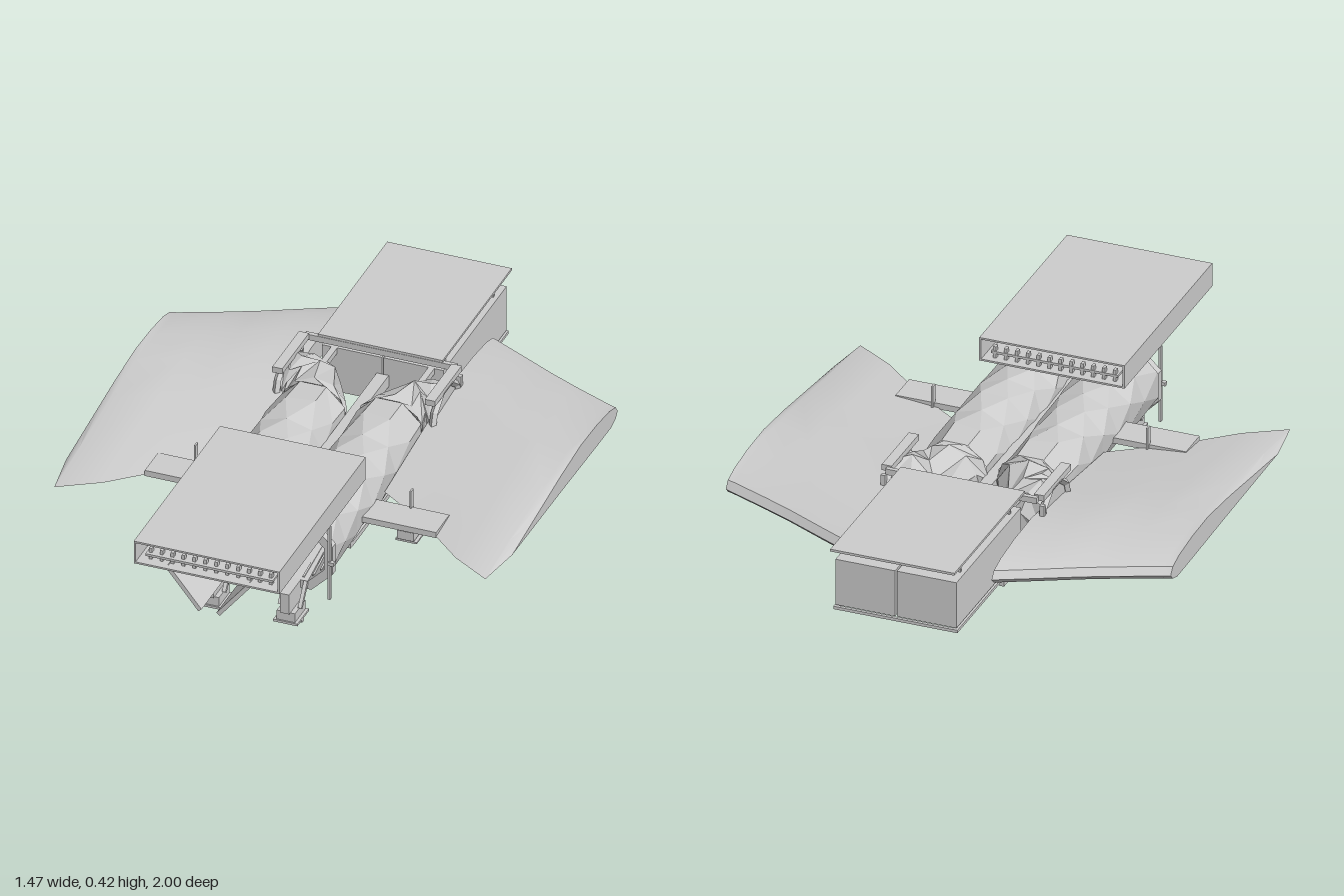
import * as THREE from 'three';
import { toCreasedNormals } from 'three/addons/utils/BufferGeometryUtils.js';

const grey = new THREE.MeshStandardMaterial({ color: 0xcccccc, side: THREE.DoubleSide });
grey.name = 'hullGrey';

const V = (x, y, z) => new THREE.Vector3(x, y, z);

// Skin over a list of closed rings with equal point counts
function loft(rings, capStart, capEnd) {
  const n = rings[0].length, pos = [];
  const tri = (a, b, c) => pos.push(...a.toArray(), ...b.toArray(), ...c.toArray());
  for (let r = 0; r < rings.length - 1; r++) {
    for (let i = 0; i < n; i++) {
      const j = (i + 1) % n, p = rings[r], q = rings[r + 1];
      // swap the diagonal on alternate rings for a faceted look
      if (r % 2) { tri(p[i], p[j], q[i]); tri(p[j], q[j], q[i]); }
      else { tri(p[i], p[j], q[j]); tri(p[i], q[j], q[i]); }
    }
  }
  const cap = (ring, flip) => {
    const c = V(0, 0, 0);
    ring.forEach(p => c.addScaledVector(p, 1 / n));
    ring.forEach((p, i) => {
      const q = ring[(i + 1) % n];
      flip ? tri(c, q, p) : tri(c, p, q);
    });
  };
  if (capStart) cap(rings[0], true);
  if (capEnd) cap(rings[rings.length - 1], false);
  const g = new THREE.BufferGeometry();
  g.setAttribute('position', new THREE.Float32BufferAttribute(pos, 3));
  return g;
}

// Box given by its limits
function box(x0, x1, y0, y1, z0, z1) {
  return new THREE.BoxGeometry(x1 - x0, y1 - y0, z1 - z0)
    .translate((x0 + x1) / 2, (y0 + y1) / 2, (z0 + z1) / 2);
}

// Square bar between two points
function bar(a, b, t) {
  const g = new THREE.BoxGeometry(t, t, a.distanceTo(b));
  const m = new THREE.Matrix4().lookAt(a, b, V(0, 1, 0.01));
  return g.applyMatrix4(m).translate((a.x + b.x) / 2, (a.y + b.y) / 2, (a.z + b.z) / 2);
}

// Mirror across x and restore the corner order
function mirrored(geo) {
  const g = geo.clone().scale(-1, 1, 1), p = g.attributes.position;
  for (let i = 0; i < p.count; i += 3) {
    const a = V().fromBufferAttribute(p, i + 1), b = V().fromBufferAttribute(p, i + 2);
    p.setXYZ(i + 1, b.x, b.y, b.z);
    p.setXYZ(i + 2, a.x, a.y, a.z);
  }
  return g;
}

export function createModel() {
  const model = new THREE.Group();
  model.name = 'spacecraft';

  function add(name, geo, crease = 0.05) {
    let g = geo.index ? geo.toNonIndexed() : geo;
    g.deleteAttribute('normal');
    g.deleteAttribute('uv');
    g.computeVertexNormals();
    if (crease > 0.1) g = toCreasedNormals(g, crease);
    const mesh = new THREE.Mesh(g, grey);
    mesh.name = name;
    model.add(mesh);
  }
  function pair(name, geo, crease) {
    const g = geo.index ? geo.toNonIndexed() : geo;
    add(name + 'Right', mirrored(g), crease);
    add(name + 'Left', g, crease);
  }

  // Hulls: crumpled eight-sided tubes that elbow outward at the rear
  const cx = 0.125, cy = 0.212, sides = 8;
  let seed = 7;
  const rand = () => (seed = (seed * 16807) % 2147483647) / 2147483647 - 0.5;
  const circle = (r, z, twist = 0, jitter = 0) => Array.from({ length: sides }, (_, i) => {
    const a = (i + twist) / sides * Math.PI * 2, k = r + rand() * jitter;
    return V(cx + Math.cos(a) * k, cy + Math.sin(a) * k, z + rand() * jitter * 2);
  });
  const hull = [circle(0.12, 0.57, 0.5)];
  for (let i = 1; i < 7; i++) hull.push(circle(0.116, 0.57 - i * 0.11, 0.5 + (i % 2) * 0.5, 0.014));
  hull.push(circle(0.114, -0.19, 0.5));
  pair('hull', loft(hull.map(r => r.reverse()), false, false));

  // Elbow sections run from the inner corner p to the outer corner q
  const elbow = [[0.01, -0.19, 0.24, -0.19], [0.03, -0.235, 0.235, -0.2],
    [0.11, -0.38, 0.24, -0.215], [0.18, -0.415, 0.245, -0.22], [0.255, -0.425, 0.255, -0.215]]
    .map(([px, pz, qx, qz], k) => Array.from({ length: 10 }, (_, i) => {
      const a = -(i + (k % 2) / 2) / 10 * Math.PI * 2, t = (1 + Math.cos(a)) / 2;
      return V(px + (qx - px) * t, cy + Math.sin(a) * 0.112, pz + (qz - pz) * t);
    }));
  pair('elbow', loft(elbow, false, true));
  pair('elbowCollar', new THREE.TorusGeometry(0.113, 0.012, 4, 10)
    .rotateY(Math.PI / 2).translate(0.258, cy, -0.32));
  for (const y of [0.1, 0.325]) pair('collarBar', box(0.235, 0.268, y - 0.01, y + 0.01, -0.43, -0.21));
  pair('collarPost', box(0.255, 0.27, 0.13, 0.3, -0.435, -0.42));

  // Intakes: flat rim, tapering throat and back disc
  pair('intakeRim', loft([circle(0.13, 0.55, 0.5), circle(0.13, 0.575, 0.5), circle(0.1, 0.575, 0.5)], false, false));
  pair('intakeThroat', loft([circle(0.1, 0.575, 0.5), circle(0.065, 0.3, 0.5)], false, true));
  for (let i = 0; i < 16; i++) {
    const a = (i + 0.5) / 16 * Math.PI * 2, c = Math.cos(a), s = Math.sin(a);
    pair('intakeRib', bar(V(cx + c * 0.092, cy + s * 0.092, 0.56), V(cx + c * 0.064, cy + s * 0.064, 0.31), 0.006));
  }
  add('keel', box(-0.02, 0.02, 0.19, 0.23, -0.45, 0.56));
  pair('rearStrut', box(0.15, 0.17, 0.27, 0.29, -0.45, -0.2));
  add('rearCrossbar', box(-0.25, 0.25, 0.31, 0.33, -0.445, -0.43));

  // Wings: blunt edge at the back, thin edge at the front
  const profile = [[0, .212], [.02, .235], [.08, .25], [.2, .262], [.35, .266], [.55, .25], [.8, .222],
    [1, .2], [.8, .197], [.5, .192], [.2, .185], [.06, .183], [.02, .194]];
  const stations = [[0.238, -0.78, 0.13], [0.36, -0.72, 0.215], [0.48, -0.66, 0.31],
    [0.58, -0.615, 0.4], [0.71, -0.56, 0.48], [0.735, -0.548, 0.32]];
  pair('wing', loft(stations.map(([x, a, b]) =>
    profile.map(([t, y]) => V(x, y, a + (b - a) * t)).reverse()), true, true), 0.6);
  add('wingSpar', box(-0.48, 0.48, 0.195, 0.215, 0.2, 0.31));

  // Under-wing pods on thin posts
  pair('wingPost', box(0.352, 0.358, 0.14, 0.275, 0.19, 0.21));
  pair('wingPod', box(0.325, 0.38, 0.12, 0.15, 0.155, 0.245));
  pair('wingPodBase', box(0.318, 0.388, 0.11, 0.116, 0.16, 0.24));

  // Front canopy: hollow flat duct with equipment shelf
  for (const y of [0.34, 0.414]) add('canopyPanel', box(-0.24, 0.24, y, y + 0.006, 0.29, 1));
  pair('canopySide', box(0.234, 0.24, 0.34, 0.42, 0.29, 1));
  add('canopyShelf', box(-0.21, 0.21, 0.362, 0.37, 0.31, 0.98));
  for (let i = 0; i < 12; i++) {
    const x = -0.198 + i * 0.036;
    for (const z of [0.32, 0.96]) add('shelfStud', box(x - 0.005, x + 0.005, 0.346, 0.385, z - 0.008, z + 0.008));
  }
  pair('canopyUnit', box(0.095, 0.155, 0.37, 0.398, 0.58, 0.67));

  // Slanted fins beneath the canopy with a hatch rod
  pair('slantedFin', new THREE.BoxGeometry(0.175, 0.014, 0.25)
    .rotateZ(0.89).translate(0.085, 0.275, 0.855));
  pair('finRod', bar(V(0.03, 0.207, 0.57), V(0.03, 0.207, 0.74), 0.01));

  // Front mounts: upright, upper unit, lower bracket and foot
  pair('frontUpright', box(0.235, 0.243, 0.08, 0.34, 0.578, 0.59));
  pair('frontPin', box(0.236, 0.256, 0.205, 0.217, 0.58, 0.595));
  pair('upperMount', box(0.1, 0.15, 0.297, 0.335, 0.58, 0.67));
  for (const x of [0.092, 0.158]) pair('footBracket', bar(V(x, 0.05, 0.625), V(x, 0.12, 0.575), 0.012));
  pair('footMount', box(0.11, 0.14, 0.05, 0.12, 0.57, 0.67));
  pair('foot', box(0.095, 0.155, 0.018, 0.05, 0.575, 0.66));
  pair('footPlate', box(0.085, 0.165, 0.01, 0.018, 0.57, 0.665));
  for (const x of [0.09, 0.16]) pair('footPad', box(x - 0.005, x + 0.005, 0, 0.012, 0.61, 0.625));

  // Long skids under the hulls
  pair('skid', box(0.15, 0.165, 0.033, 0.05, -0.5, 0.21));
  for (const z of [0.22, -0.42]) pair('skidPost', box(0.15, 0.165, 0.035, 0.1, z - 0.007, z + 0.007));

  // Rear cargo boxes, roof deck and lower rails
  pair('cargoBox', box(0.003, 0.2, 0.132, 0.29, -0.97, -0.45));
  add('roofDeck', box(-0.205, 0.205, 0.331, 0.339, -1, -0.43));
  pair('lowerRail', box(0.188, 0.205, 0.118, 0.128, -0.97, -0.43));
  add('lowerRailEnd', box(-0.205, 0.205, 0.118, 0.128, -0.975, -0.965));
  for (const z of [-0.9, -0.5]) pair('deckPost', box(0.18, 0.186, 0.29, 0.332, z - 0.004, z + 0.004));

  return model;
}
